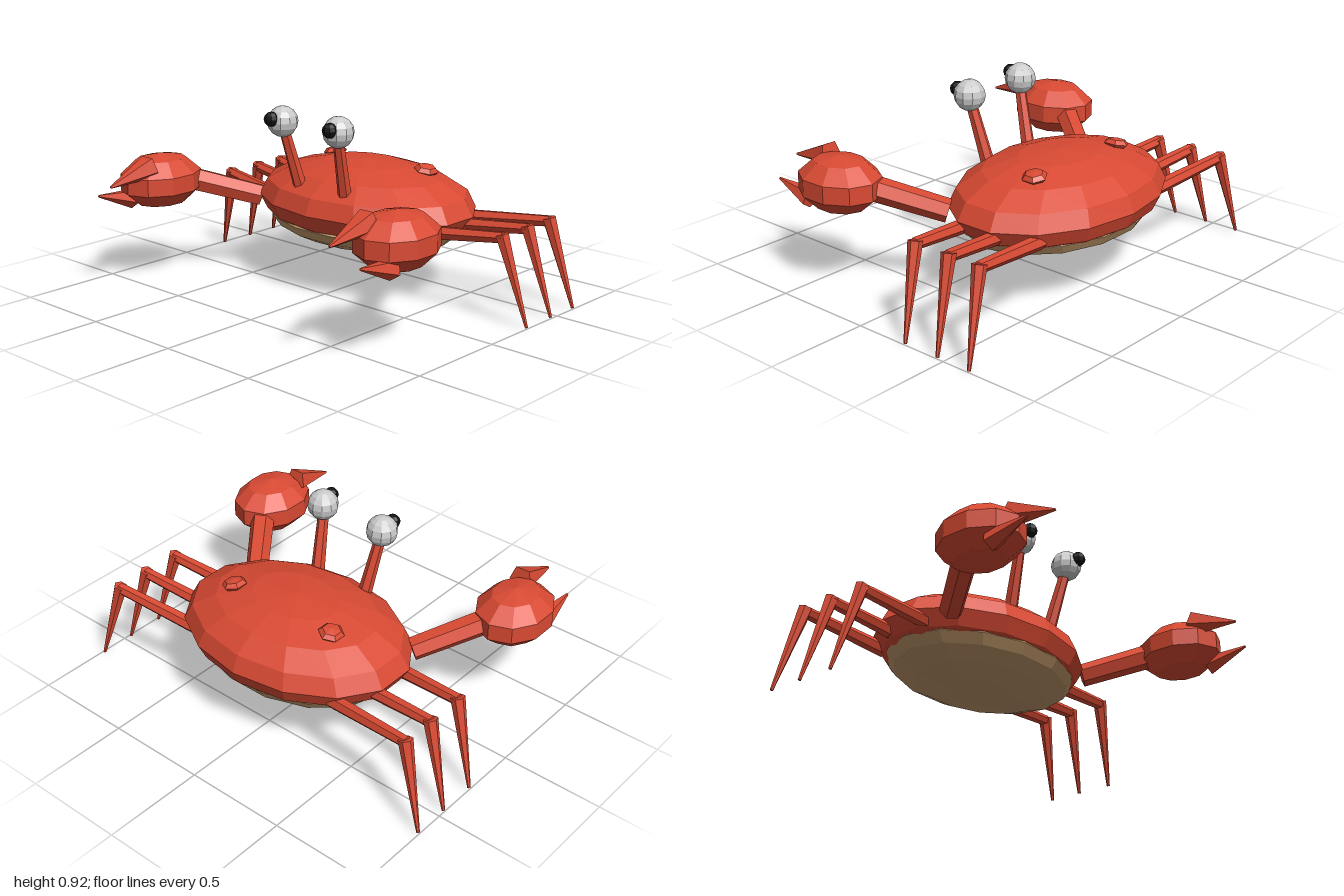
import * as THREE from 'three';

const mat = (color) => new THREE.MeshStandardMaterial({ color, flatShading: true });

export function createModel() {
  const crab = new THREE.Group();
  crab.name = 'crab';
  const red = mat(0xd94a33);
  const tan = mat(0xc49a6c);
  const grey = mat(0xcccccc);
  const black = mat(0x111111);

  // Faceted ellipsoid with a vertex column facing +z
  function ellipsoid(parent, name, material, pos, radii, segments, rings, turn = 0) {
    const geo = new THREE.SphereGeometry(1, segments, rings);
    geo.rotateY(Math.PI / 2 + turn);
    geo.scale(...radii);
    const mesh = new THREE.Mesh(geo, material);
    mesh.name = name;
    mesh.position.set(...pos);
    parent.add(mesh);
    return mesh;
  }

  // Tapered prism running from one point to another
  function strut(parent, name, from, to, r0, r1, sides = 6) {
    const a = new THREE.Vector3(...from);
    const dir = new THREE.Vector3(...to).sub(a);
    const geo = new THREE.CylinderGeometry(r1, r0, dir.length(), sides);
    const mesh = new THREE.Mesh(geo, red);
    mesh.name = name;
    mesh.position.copy(a).addScaledVector(dir, 0.5);
    mesh.quaternion.setFromUnitVectors(new THREE.Vector3(0, 1, 0), dir.normalize());
    parent.add(mesh);
    return mesh;
  }

  // Shell, slightly shallower underneath so the belly shows through
  const shell = ellipsoid(crab, 'shell', red, [0, 0.417, -0.295], [0.6, 0.21, 0.43], 14, 8);
  const p = shell.geometry.attributes.position;
  for (let i = 0; i < p.count; i++) {
    if (p.getY(i) < 0) p.setY(i, p.getY(i) * 0.92);
  }
  ellipsoid(crab, 'belly', tan, [0, 0.33, -0.29], [0.53, 0.126, 0.385], 14, 8, Math.PI / 14);

  for (const s of [1, -1]) {
    const side = new THREE.Group();
    side.name = s > 0 ? 'leftSide' : 'rightSide';
    crab.add(side);

    // Bump on the back
    const bump = ellipsoid(side, 'shellBump', red, [s * 0.295, 0.597, -0.395], [0.06, 0.027, 0.062], 6, 4);
    bump.rotation.z = -s * 0.2;

    // Eye on its stalk
    strut(side, 'eyeStalk', [s * 0.145, 0.525, 0.02], [s * 0.172, 0.8, 0.095], 0.033, 0.026);
    ellipsoid(side, 'eyeball', grey, [s * 0.178, 0.843, 0.1], [0.075, 0.075, 0.075], 10, 8);
    ellipsoid(side, 'pupil', black, [s * 0.186, 0.862, 0.168], [0.036, 0.036, 0.036], 8, 6);

    // Claw: arm, palm and two fingers
    const claw = new THREE.Group();
    claw.name = 'claw';
    side.add(claw);
    strut(claw, 'clawArm', [s * 0.485, 0.4, -0.05], [s * 0.69, 0.5, 0.22], 0.056, 0.06);
    ellipsoid(claw, 'palm', red, [s * 0.757, 0.51, 0.365], [0.182, 0.135, 0.222], 10, 5);
    strut(claw, 'upperFinger', [s * 0.7, 0.604, 0.485], [s * 0.7, 0.546, 0.725], 0.062, 0.006, 5);
    strut(claw, 'lowerFinger', [s * 0.832, 0.424, 0.485], [s * 0.838, 0.472, 0.69], 0.05, 0.006, 5);

    // Three walking legs: root z, knee z, foot z
    for (const [z0, z1, z2] of [[-0.17, -0.225, -0.27], [-0.37, -0.42, -0.46], [-0.535, -0.593, -0.64]]) {
      const leg = new THREE.Group();
      leg.name = 'walkingLeg';
      side.add(leg);
      strut(leg, 'upperLeg', [s * 0.42, 0.365, z0], [s * 0.88, 0.415, z1], 0.036, 0.028);
      strut(leg, 'lowerLeg', [s * 0.872, 0.43, z1], [s * 0.992, 0.003, z2], 0.034, 0.008);
    }
  }
  return crab;
}
